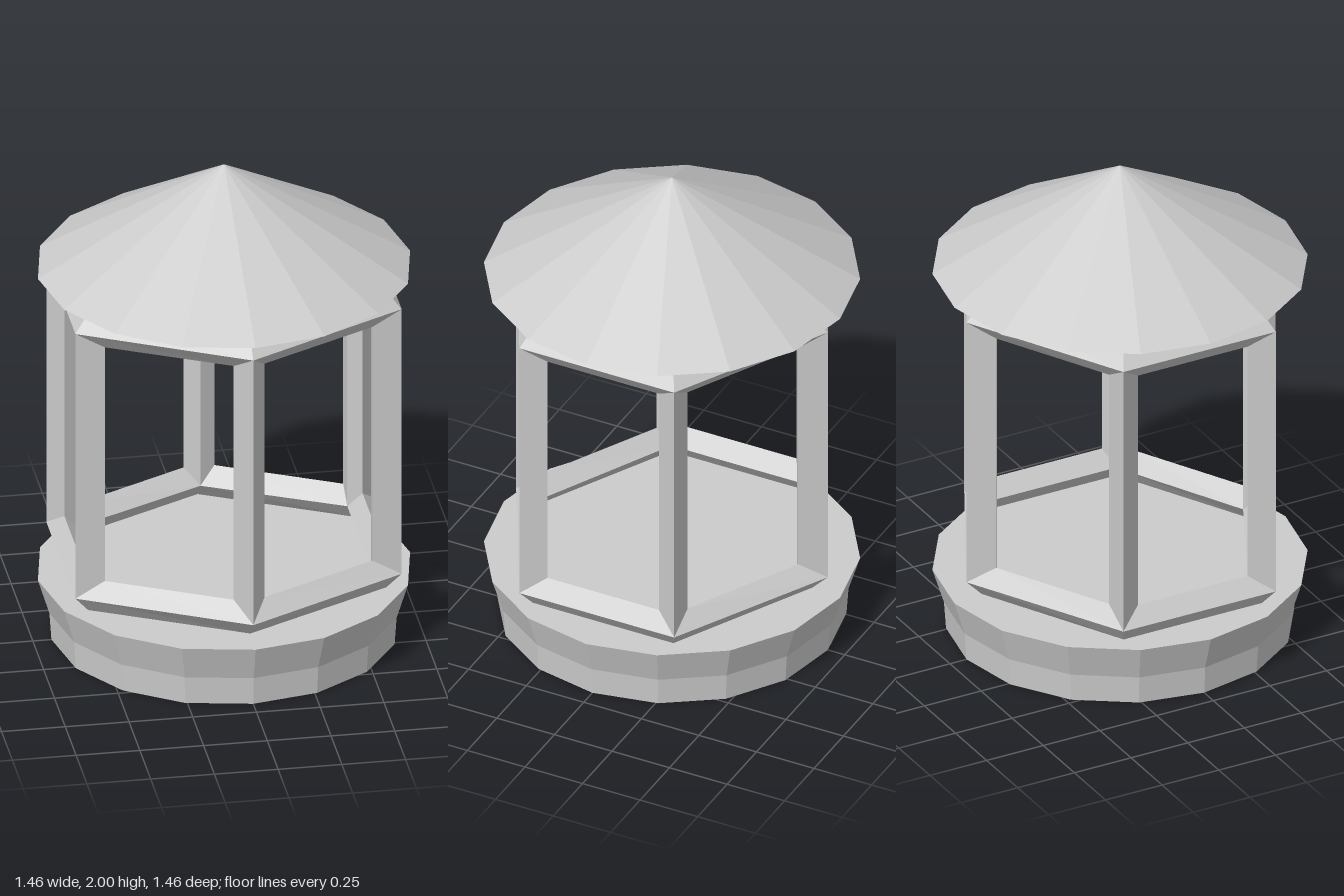
import * as THREE from 'three';

const material = new THREE.MeshStandardMaterial({ color: 0xcccccc, flatShading: true, side: THREE.DoubleSide });
const SIDES = 16;

// Six corners, running from the front point round by way of +x
const hexagon = (tip, x, z) => [[0, tip], [x, z], [x, -z], [0, -tip], [-x, -z], [-x, z]];
const OUTER = hexagon(0.677, 0.64, 0.336);
const MIDDLE = hexagon(0.61, 0.585, 0.305);
const INNER = hexagon(0.543, 0.53, 0.274);
const INSET = 0.103; // share of a wall's length taken by the post at each end

function addMesh(group, geometry, name) {
  const mesh = new THREE.Mesh(geometry, material);
  mesh.name = name;
  group.add(mesh);
  return mesh;
}

// Flat-faced strip joining two closed loops of points
function bridge(lower, upper, flip) {
  const positions = [];
  const n = lower.length;
  for (let k = 0; k < n; k++) {
    const m = (k + 1) % n;
    const quad = [lower[k], lower[m], upper[m], upper[k]];
    if (flip) quad.reverse();
    for (const c of [0, 1, 2, 0, 2, 3]) positions.push(...quad[c]);
  }
  const geometry = new THREE.BufferGeometry();
  geometry.setAttribute('position', new THREE.Float32BufferAttribute(positions, 3));
  geometry.computeVertexNormals();
  return geometry;
}

const at = ([x, z], y) => [x, y, z];

// Point on a wall, set in from corner i towards corner j
function wallPoint(i, j, y) {
  const [a, b] = [MIDDLE[i], MIDDLE[j]];
  return [a[0] + (b[0] - a[0]) * INSET, y, a[1] + (b[1] - a[1]) * INSET];
}

export function createModel() {
  const model = new THREE.Group();
  model.name = 'lantern';

  // Flared solid base
  const profile = [[0, 0], [0.677, 0], [0.685, 0.115], [0.73, 0.26], [0, 0.26]];
  addMesh(model, new THREE.LatheGeometry(profile.map(([r, y]) => new THREE.Vector2(r, y)), SIDES), 'base');

  // Conical roof with a closed underside
  const roof = addMesh(model, new THREE.ConeGeometry(0.73, 0.435, SIDES), 'roof');
  roof.position.y = 1.565 + 0.435 / 2;

  // Hexagonal cage: mitred diamond-section rails and kite-section posts
  const cage = new THREE.Group();
  cage.name = 'cage';
  model.add(cage);
  const levels = [
    { name: 'bottomRail', y: 0.34, dir: -1 },
    { name: 'topRail', y: 1.485, dir: 1 },
  ];
  for (let i = 0; i < 6; i++) {
    const next = (i + 1) % 6;
    const prev = (i + 5) % 6;

    for (const { name, y, dir } of levels) {
      const section = (c, other) => [
        wallPoint(c, other, y - dir * 0.067),
        at(OUTER[c], y),
        at(MIDDLE[c], y + dir * 0.069),
        at(INNER[c], y),
      ];
      addMesh(cage, bridge(section(i, next), section(next, i), dir > 0), name);
    }

    // Post between the rails at this corner
    const [bottom, top] = levels.map(({ y, dir }) => [
      wallPoint(i, prev, y - dir * 0.067),
      at(OUTER[i], y),
      wallPoint(i, next, y - dir * 0.067),
      at(INNER[i], y),
    ]);
    addMesh(cage, bridge(bottom, top, false), 'post');
  }
  return model;
}
